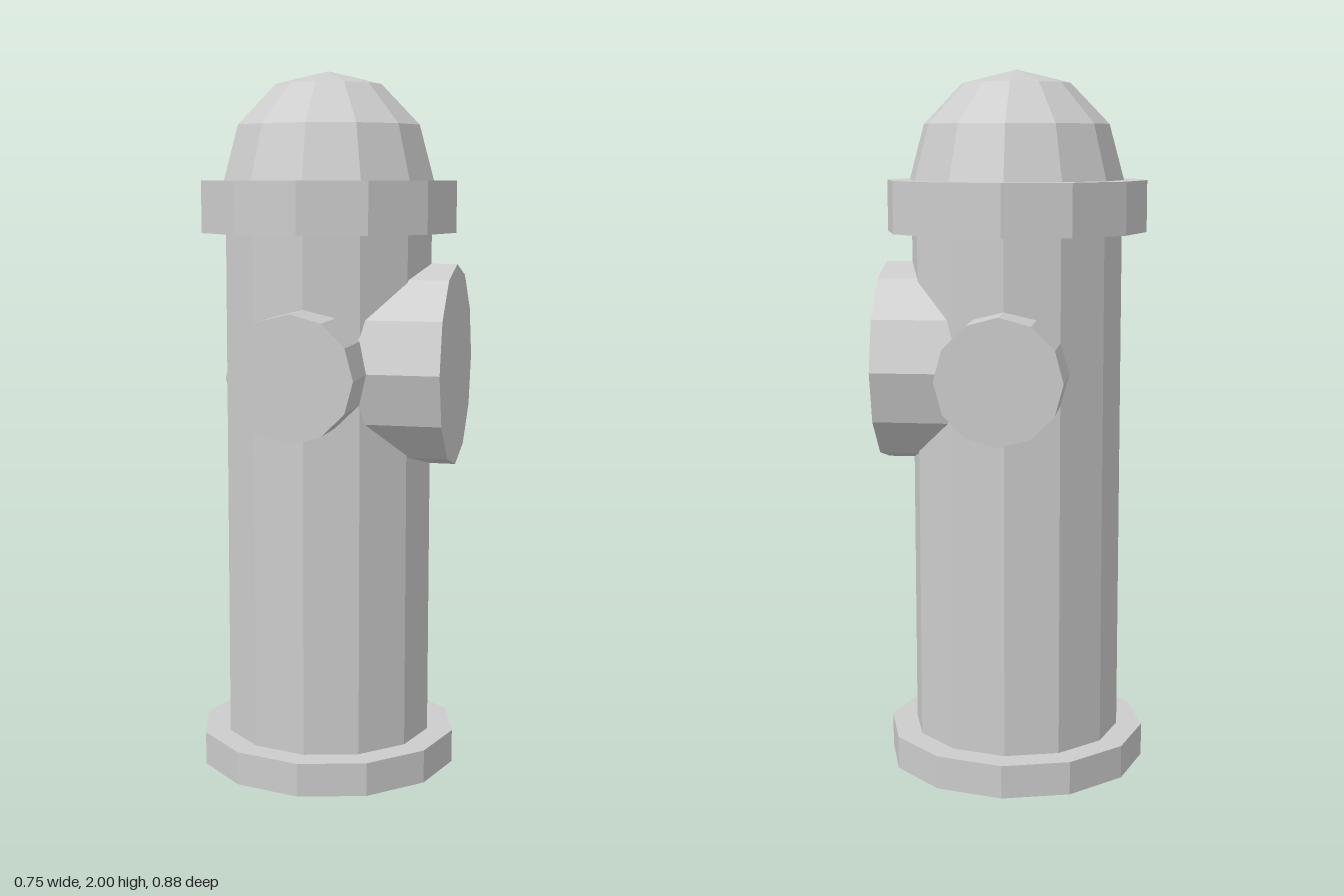
import * as THREE from 'three';

const SIDES = 12;
const AXIS_Z = -0.008; // barrel axis sits slightly behind the middle
const OUTLET_Y = 1.177;

export function createModel() {
  const group = new THREE.Group();
  const material = new THREE.MeshStandardMaterial({ color: 0xcccccc, flatShading: true });

  const add = (name, geometry) => {
    const mesh = new THREE.Mesh(geometry, material);
    mesh.name = name;
    group.add(mesh);
    return mesh;
  };

  // Upright twelve-sided drum between two heights
  const drum = (name, radius, y0, y1) => {
    const mesh = add(name, new THREE.CylinderGeometry(radius, radius, y1 - y0, SIDES));
    mesh.position.set(-0.001, (y0 + y1) / 2, AXIS_Z);
  };
  drum('baseFlange', 0.374, 0, 0.095);
  drum('barrel', 0.3, 0.05, 1.6);
  drum('topFlange', 0.37, 1.55, 1.695);

  // Faceted dome cap
  const profile = [[0.305, 1.695], [0.263, 1.85], [0.153, 1.963], [0, 2]];
  const dome = add('domeCap', new THREE.LatheGeometry(
    profile.map(([r, y]) => new THREE.Vector2(r, y)), SIDES));
  dome.position.set(-0.001, 0, AXIS_Z);

  // Large outlet on the left side, running out of the barrel
  const large = add('largeOutlet', new THREE.CylinderGeometry(0.286, 0.286, 0.322, SIDES));
  large.rotation.z = -Math.PI / 2;
  large.position.set(0.212, OUTLET_Y, AXIS_Z);

  // Small outlets, front and back
  for (const [name, side] of [['frontOutlet', 1], ['backOutlet', -1]]) {
    const outlet = add(name, new THREE.CylinderGeometry(0.173, 0.173, 0.288, SIDES));
    outlet.rotation.x = side * Math.PI / 2;
    outlet.position.set(-0.001, OUTLET_Y, side * 0.294);
  }

  return group;
}
